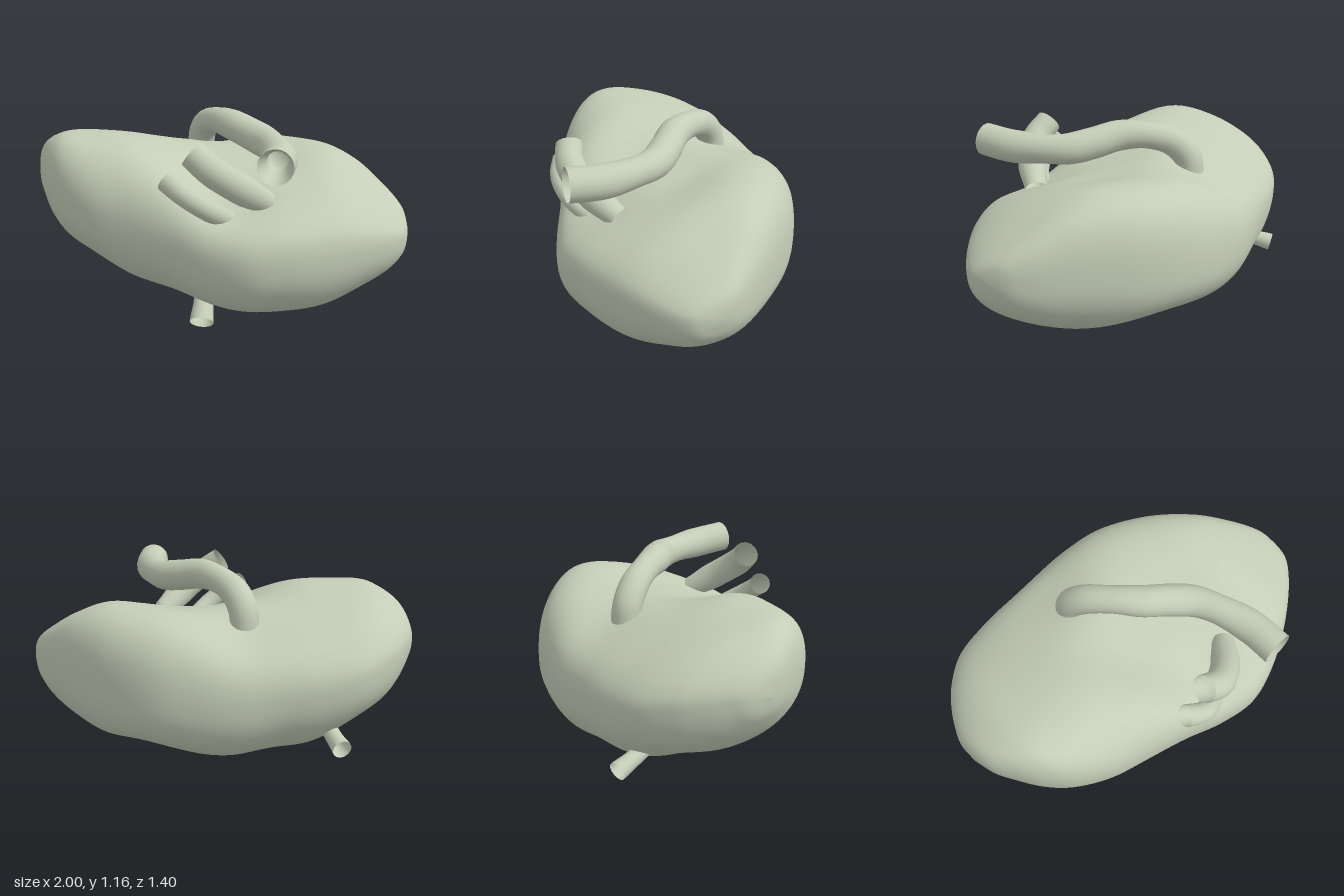
import * as THREE from 'three';

// Body stations along x: [x, top y, bottom y, back z, front z]
const STATIONS = [
  [-1.0, 0.78, 0.78, -0.2, -0.2],
  [-0.985, 0.87, 0.69, -0.3, -0.09],
  [-0.95, 0.935, 0.62, -0.37, 0.0],
  [-0.88, 0.985, 0.52, -0.47, 0.14],
  [-0.78, 1.015, 0.43, -0.57, 0.26],
  [-0.62, 1.01, 0.355, -0.665, 0.37],
  [-0.42, 1.0, 0.25, -0.695, 0.45],
  [-0.2, 0.965, 0.21, -0.69, 0.54],
  [0.0, 0.93, 0.17, -0.68, 0.635],
  [0.2, 0.92, 0.155, -0.64, 0.695],
  [0.4, 0.93, 0.17, -0.565, 0.67],
  [0.6, 0.92, 0.205, -0.415, 0.6],
  [0.77, 0.85, 0.3, -0.22, 0.515],
  [0.9, 0.765, 0.395, -0.035, 0.43],
  [0.97, 0.7, 0.48, 0.095, 0.36],
  [0.993, 0.65, 0.55, 0.165, 0.29],
  [1.0, 0.6, 0.6, 0.23, 0.23],
];

// Soft hollows in the upper side: [x, z, radius, depth]
const HOLLOWS = [
  [0.06, 0.42, 0.24, 0.065],
  [0.28, 0.06, 0.16, 0.025],
  [-0.08, 0.12, 0.18, 0.03],
  [-0.1, -0.48, 0.2, 0.045],
];

// Hollow on the underside of the rear
const UNDERCUT = [0.45, -0.35, 0.28, 0.07];

const falloff = (x, z, [hx, hz, r, depth]) =>
  depth * Math.exp(-((x - hx) ** 2 + (z - hz) ** 2) / (r * r));

function bodyGeometry(rings = 96, sides = 72) {
  const { lerp, smoothstep } = THREE.MathUtils;
  const curve = (f) => new THREE.CatmullRomCurve3(STATIONS.map(f), false, 'catmullrom', 0.5);
  const heights = curve((s) => new THREE.Vector3(s[0], s[1], s[2]));
  const depths = curve((s) => new THREE.Vector3(s[0], s[3], s[4]));
  const round = (v, e) => Math.sign(v) * Math.pow(Math.abs(v), e);
  const pos = [];
  const index = [];
  for (let i = 0; i <= rings; i++) {
    const h = heights.getPoint(i / rings);
    const d = depths.getPoint(i / rings);
    const x = h.x;
    const taper = Math.sin((Math.PI * i) / rings);
    // The top leans to the front on one lobe and to the back on the other
    const side = smoothstep(x, -0.5, 0.3);
    const lean = lerp(-0.1, 0.12, side) * Math.min(1, (d.z - d.y + h.y - h.z) / 1.3);
    for (let j = 0; j < sides; j++) {
      const a = (j / sides) * Math.PI * 2;
      const upper = Math.max(0, Math.sin(a));
      const lower = Math.max(0, -Math.sin(a));
      const e = lerp(0.86, lerp(0.9, 0.78, side), Math.min(1, upper * 3));
      const across = round(Math.cos(a), e);
      const z = (d.y + d.z) / 2 + ((d.z - d.y) / 2) * across;
      let y = (h.y + h.z) / 2 + ((h.y - h.z) / 2) * round(Math.sin(a), e);
      y -= lean * across * upper;
      for (const hollow of HOLLOWS) y -= upper * falloff(x, z, hollow);
      y += lower * falloff(x, z, UNDERCUT);
      // Gentle unevenness
      y += 0.008 * taper * Math.sin(9 * x + 2 * z) * Math.sin(8 * z - 3 * x);
      pos.push(x, y, z);
      if (i < rings) {
        const k = (j + 1) % sides;
        const p = i * sides + j;
        const q = i * sides + k;
        index.push(p, p + sides, q, q, p + sides, q + sides);
      }
    }
  }
  const g = new THREE.BufferGeometry();
  g.setAttribute('position', new THREE.Float32BufferAttribute(pos, 3));
  g.setIndex(index);
  g.computeVertexNormals();
  return g;
}

// Tube along a path whose radius runs through a list of values
function vesselGeometry(points, radii, seg = 48, sides = 20) {
  const path = new THREE.CatmullRomCurve3(points.map((p) => new THREE.Vector3(...p)));
  const g = new THREE.TubeGeometry(path, seg, 1, sides, false);
  const pos = g.attributes.position;
  const v = new THREE.Vector3();
  for (let i = 0; i <= seg; i++) {
    const c = path.getPointAt(i / seg);
    const f = (i / seg) * (radii.length - 1);
    const k = Math.min(Math.floor(f), radii.length - 2);
    const r = THREE.MathUtils.lerp(radii[k], radii[k + 1], THREE.MathUtils.smoothstep(f - k, 0, 1));
    for (let j = 0; j <= sides; j++) {
      const n = i * (sides + 1) + j;
      v.fromBufferAttribute(pos, n).sub(c).multiplyScalar(r).add(c);
      pos.setXYZ(n, v.x, v.y, v.z);
    }
  }
  return g;
}

export function createModel() {
  const group = new THREE.Group();
  const skin = new THREE.MeshStandardMaterial({ color: 0xc3cdb7 });
  skin.name = 'paleSage';
  skin.side = THREE.DoubleSide;

  const add = (name, geometry) => {
    const mesh = new THREE.Mesh(geometry, skin);
    mesh.name = name;
    group.add(mesh);
  };

  add('body', bodyGeometry());

  // Open vessels, with an inner wall at the mouth of the long one
  add('longVessel', vesselGeometry([
    [-0.1, 0.84, -0.33], [-0.095, 0.96, -0.31], [-0.06, 1.04, -0.24], [0.01, 1.08, -0.12],
    [0.09, 1.085, 0], [0.19, 1.06, 0.1], [0.27, 1.04, 0.2], [0.315, 1.035, 0.35],
    [0.33, 1.035, 0.5], [0.31, 1.045, 0.665],
  ], [0.075, 0.075, 0.07, 0.08, 0.082, 0.075, 0.085, 0.085], 80));
  add('longVesselLining', vesselGeometry([
    [0.33, 1.035, 0.45], [0.32, 1.04, 0.58], [0.31, 1.045, 0.665],
  ], [0.05, 0.055, 0.085], 16));
  add('middleVessel', vesselGeometry([
    [0.27, 0.79, 0.4], [0.13, 0.9, 0.5], [0.01, 0.99, 0.535], [-0.08, 1.06, 0.505],
  ], [0.06, 0.075, 0.075, 0.07]));
  add('smallVessel', vesselGeometry([
    [0.1, 0.71, 0.46], [-0.02, 0.8, 0.54], [-0.12, 0.87, 0.55], [-0.205, 0.925, 0.5],
  ], [0.05, 0.052, 0.052, 0.056]));

  // Short stubs underneath and at the back
  add('lowerStub', vesselGeometry([
    [-0.05, 0.22, 0.06], [-0.055, 0.13, 0.17], [-0.06, 0.052, 0.262],
  ], [0.055, 0.055, 0.065], 20));
  add('backStub', vesselGeometry([
    [-0.5, 0.4, -0.5], [-0.515, 0.37, -0.6], [-0.53, 0.35, -0.69],
  ], [0.04, 0.042, 0.048], 16));

  return group;
}
